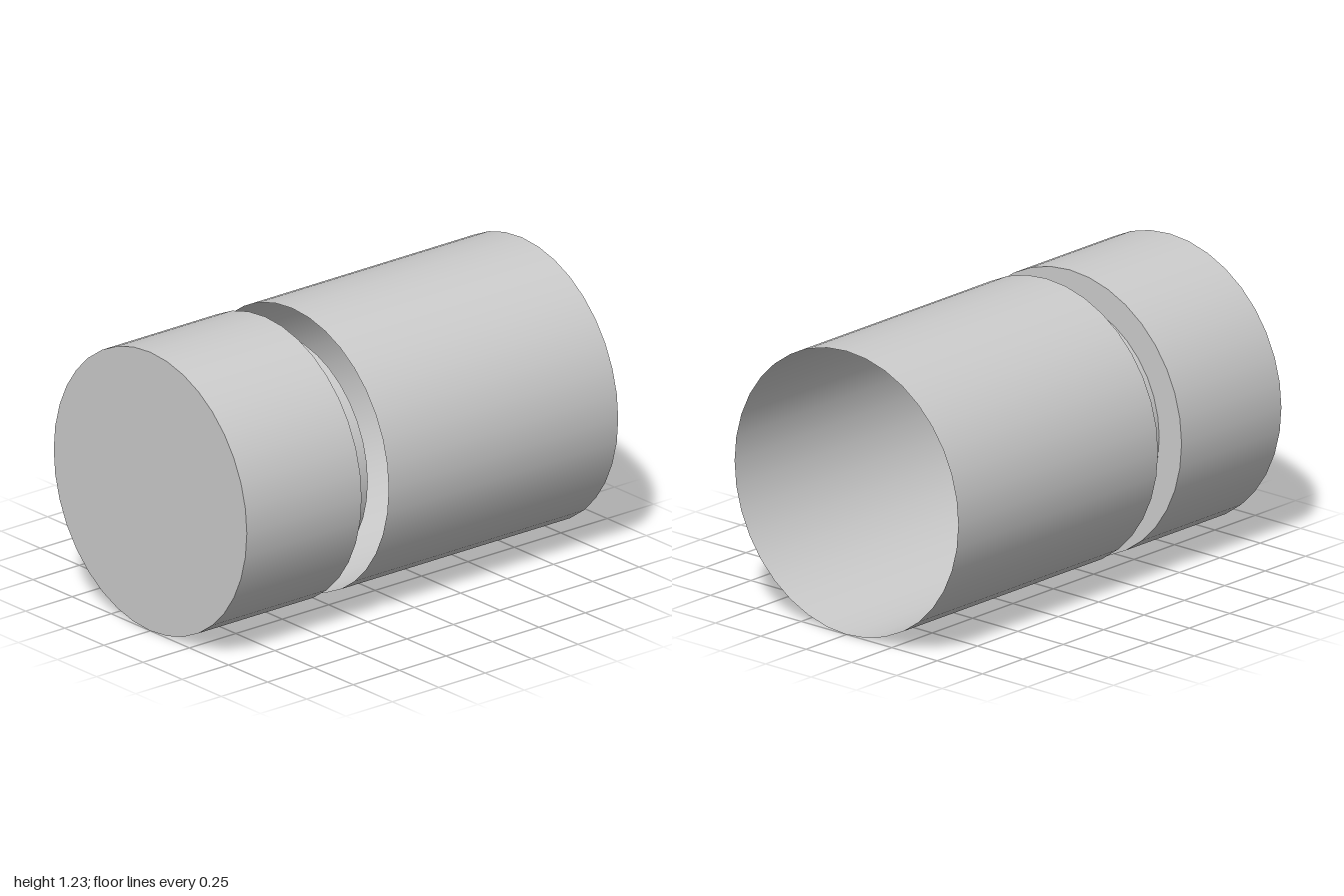
import * as THREE from 'three';

const SIDES = 36;
const OUTER = 0.617;
const NECK = 0.494;

export function createModel() {
  const model = new THREE.Group();
  model.name = 'grooved tube';

  // Cylinder lying along x between two positions
  function addCylinder(name, radius, x0, x1, open = false) {
    const geometry = new THREE.CylinderGeometry(radius, radius, x1 - x0, SIDES, 1, open);
    geometry.rotateZ(-Math.PI / 2);
    const material = new THREE.MeshStandardMaterial({
      color: 0xcccccc,
      side: open ? THREE.DoubleSide : THREE.FrontSide,
    });
    const mesh = new THREE.Mesh(geometry, material);
    mesh.name = name;
    mesh.position.set((x0 + x1) / 2, 0.619, 0);
    model.add(mesh);
  }

  // Solid closed end, narrower neck, and thin open sleeve just clear of the neck
  addCylinder('endCap', OUTER, -1, -0.382);
  addCylinder('neck', NECK, -0.382, -0.245);
  addCylinder('sleeve', OUTER, -0.236, 1, true);

  return model;
}
